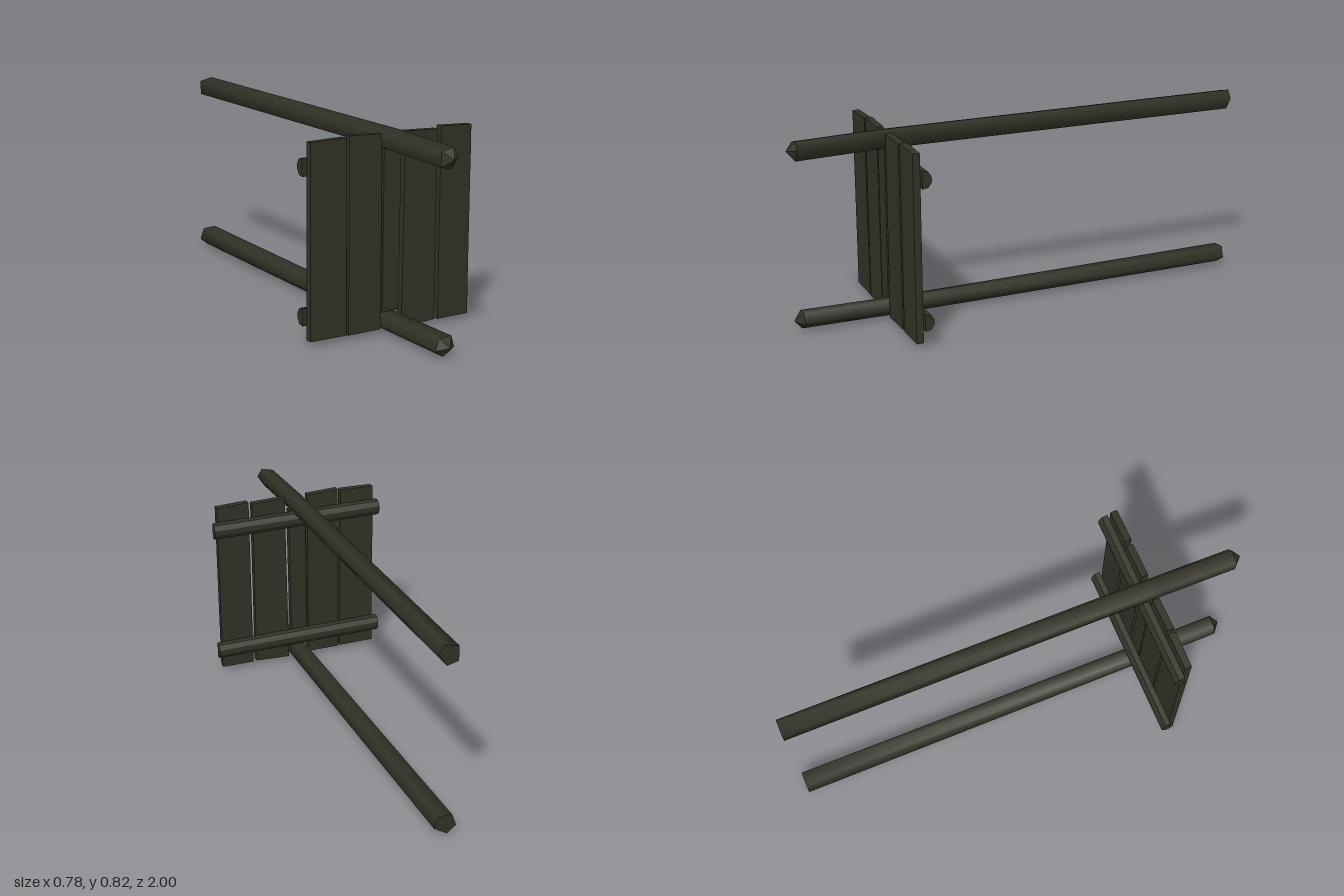
import * as THREE from 'three';
import { mergeGeometries } from 'three/addons/utils/BufferGeometryUtils.js';

const wood = new THREE.MeshStandardMaterial({ color: 0x323126 });
wood.name = 'dark weathered wood';

const shapeOf = (pts) => new THREE.Shape(pts.map(([x, y]) => new THREE.Vector2(x, y)));

function addMesh(group, geometry, name) {
  const mesh = new THREE.Mesh(geometry, wood);
  mesh.name = name;
  group.add(mesh);
}

function indexed(positions, index) {
  const g = new THREE.BufferGeometry();
  g.setAttribute('position', new THREE.Float32BufferAttribute(positions.flat(), 3));
  g.setIndex(index);
  return g;
}

// Rough five-sided log along z: rings are [z, centre x, centre y, scale], front to back
function logGeometry(offsets, rings, tip) {
  const n = offsets.length;
  const loops = rings.map(([z, cx, cy, s]) => offsets.map(([x, y]) => [cx + x * s, cy + y * s, z]));
  const side = [];
  for (let r = 0; r < rings.length - 1; r++) {
    for (let i = 0; i < n; i++) {
      const j = (i + 1) % n;
      const a = r * n + i, b = r * n + j, c = a + n, d = b + n;
      side.push(a, c, b, b, c, d);
    }
  }
  const point = [], cap = [];
  for (let i = 0; i < n; i++) {
    const j = (i + 1) % n;
    point.push(n, i, j);
    cap.push(n, j, i);
  }
  const [bz, bx, by] = rings[rings.length - 1];
  const body = indexed(loops.flat(), side);
  const front = indexed([...loops[0], tip], point).toNonIndexed();
  const back = indexed([...loops[loops.length - 1], [bx, by, bz]], cap);
  const parts = [body.toNonIndexed(), front, back.toNonIndexed()];
  // Smooth along the bark, faceted at the sharpened tip and sawn end
  body.computeVertexNormals();
  parts[0] = body.toNonIndexed();
  front.computeVertexNormals();
  parts[2].computeVertexNormals();
  return mergeGeometries(parts);
}

export function createModel() {
  const model = new THREE.Group();
  model.name = 'plankBarrier';

  // Long sharpened poles
  addMesh(model, logGeometry(
    [[-0.04, 0.03], [-0.04, -0.034], [0.01, -0.046], [0.044, 0.007], [0.02, 0.045]],
    [[0.965, 0.003, 0.764, 0.92], [0.6, 0.003, 0.774, 0.92], [-1, 0.005, 0.776, 0.96]],
    [0, 0.763, 1]), 'upperPole');
  addMesh(model, logGeometry(
    [[-0.01, -0.045], [0.045, -0.01], [0.03, 0.04], [-0.03, 0.036], [-0.048, -0.015]],
    [[0.965, 0, 0.045, 0.92], [0.6, 0, 0.041, 0.91], [-1, 0, 0.047, 1]],
    [0, 0.045, 1]), 'lowerPole');

  // Upright planks with uneven corners: bottom left, bottom right, top right, top left
  const planks = [
    [[-0.375, 0.02], [-0.211, 0.02], [-0.217, 0.804], [-0.375, 0.8]],
    [[-0.203, 0.018], [-0.053, 0.02], [-0.056, 0.804], [-0.203, 0.81]],
    [[-0.047, 0.086], [0.029, 0.096], [0.034, 0.745], [-0.045, 0.745]],
    [[0.045, 0.012], [0.204, 0.02], [0.204, 0.8], [0.052, 0.805]],
    [[0.221, 0.018], [0.368, 0.02], [0.368, 0.804], [0.221, 0.81]],
  ];
  planks.forEach((corners, i) => {
    const g = new THREE.ExtrudeGeometry(shapeOf(corners), { depth: 0.03, bevelEnabled: false });
    g.translate(0, 0, 0.575);
    addMesh(model, g, `plank${i + 1}`);
  });

  // Half-round cross rails behind the planks
  const profile = shapeOf([
    [0, -0.036], [0.024, -0.032], [0.038, -0.011], [0.038, 0.011], [0.024, 0.032], [0, 0.036],
  ]);
  [['upperRail', 0.702], ['lowerRail', 0.114]].forEach(([name, y]) => {
    const g = new THREE.ExtrudeGeometry(profile, { depth: 0.784, bevelEnabled: false });
    g.rotateY(Math.PI / 2);
    g.translate(-0.393, y, 0.575);
    addMesh(model, g, name);
  });

  return model;
}
